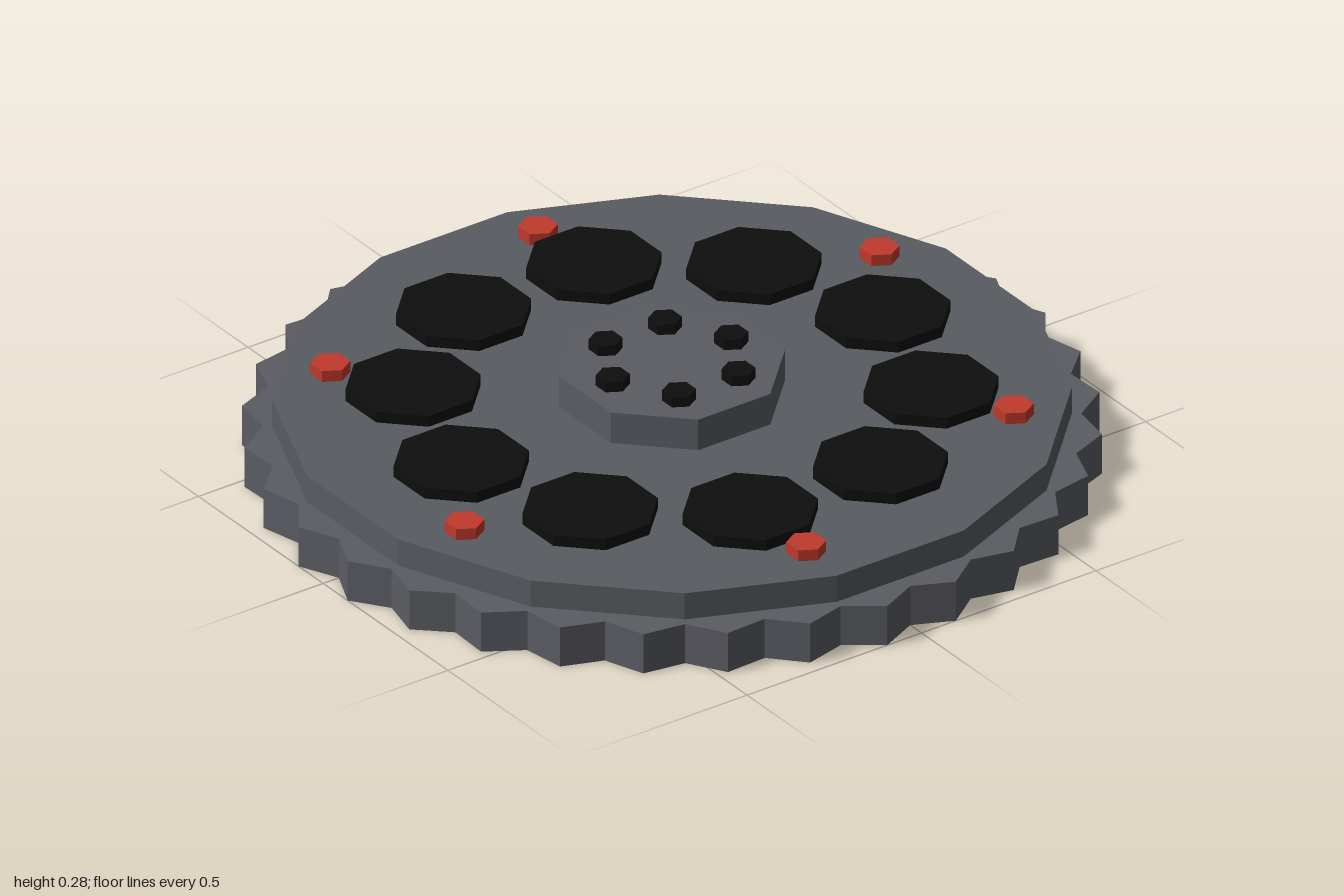
import * as THREE from 'three';

const material = (name, color) => {
  const m = new THREE.MeshStandardMaterial({ color });
  m.name = name;
  return m;
};

export function createModel() {
  const model = new THREE.Group();
  model.name = 'cogWheel';
  const gearGrey = material('gearGrey', 0x5b5c63);
  const discGrey = material('discGrey', 0x585c61);
  const black = material('black', 0x0e0e0e);
  const red = material('red', 0xc0392b);

  // Upright prism with flat-shaded sides; turn rotates its corners
  const prism = (name, mat, sides, radius, y0, y1, x = 0, z = 0, turn = 0) => {
    const geo = new THREE.CylinderGeometry(radius, radius, y1 - y0, sides, 1, false, turn).toNonIndexed();
    geo.computeVertexNormals();
    const mesh = new THREE.Mesh(geo, mat);
    mesh.name = name;
    mesh.position.set(x, (y0 + y1) / 2, z);
    model.add(mesh);
  };

  // Ring of equal prisms; first is the angle of the first one
  const ring = (name, count, distance, first, mat, sides, radius, y0, y1, turn) => {
    for (let i = 0; i < count; i++) {
      const a = first + (i / count) * Math.PI * 2;
      prism(name + (i + 1), mat, sides, radius, y0, y1, Math.cos(a) * distance, Math.sin(a) * distance, turn);
    }
  };

  // Toothed base with 32 pointed teeth
  const teeth = 32;
  const outline = [];
  for (let i = 0; i < teeth * 2; i++) {
    const a = (i / (teeth * 2)) * Math.PI * 2;
    const r = i % 2 ? 1.005 : 0.955;
    outline.push(new THREE.Vector2(Math.cos(a) * r, Math.sin(a) * r));
  }
  const gearGeo = new THREE.ExtrudeGeometry(new THREE.Shape(outline), { depth: 0.105, bevelEnabled: false });
  gearGeo.rotateX(-Math.PI / 2);
  const gear = new THREE.Mesh(gearGeo, gearGrey);
  gear.name = 'toothedBase';
  model.add(gear);

  // Raised disc and central hub
  prism('disc', discGrey, 16, 0.933, 0.1, 0.175, 0, 0, Math.PI / 16);
  prism('hub', gearGrey, 8, 0.27, 0.17, 0.257, 0, 0, Math.PI / 8);

  // Dark octagonal pads, red rim bolts and dark hub bolts
  ring('pad', 10, 0.604, 0, black, 8, 0.162, 0.17, 0.204, Math.PI / 8);
  ring('rimBolt', 6, 0.803, -1.35, red, 6, 0.047, 0.17, 0.204, 0);
  ring('hubBolt', 6, 0.17, 0, black, 6, 0.04, 0.25, 0.284, 0);

  return model;
}
